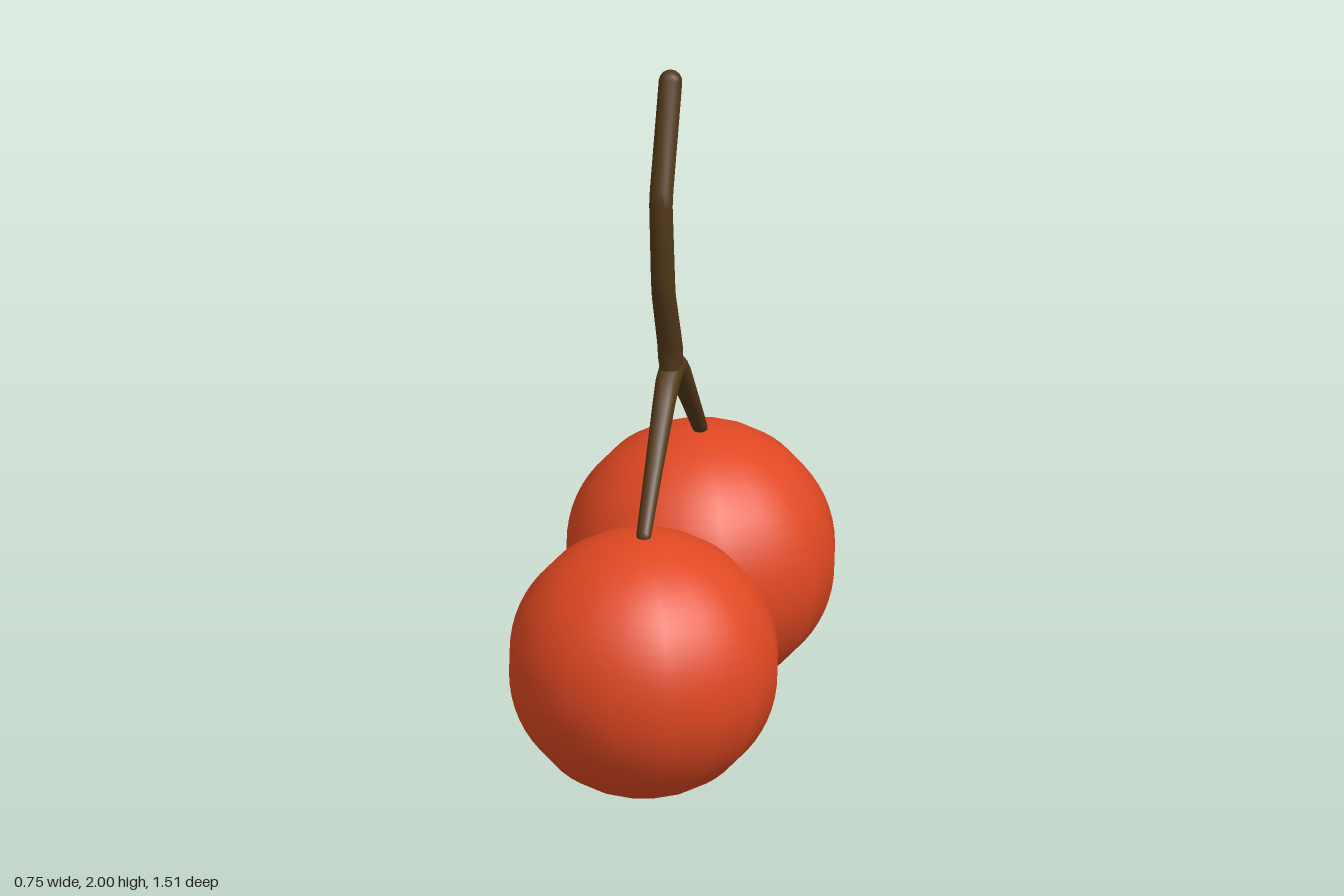
import * as THREE from 'three';

const SIDES = 12;

// Smooth tapered branch in the x = 0 plane with domed ends.
// Each point: [z, y, radius across x, radius in the plane]
function branch(points, material, name) {
  const dir = (a, b) => new THREE.Vector2(b[0] - a[0], b[1] - a[1]).normalize();
  const rings = points.map((p, i) => {
    const t = new THREE.Vector2();
    if (i > 0) t.add(dir(points[i - 1], p));
    if (i < points.length - 1) t.add(dir(p, points[i + 1]));
    return { z: p[0], y: p[1], r: p[2], w: p[3] ?? p[2], t: t.normalize() };
  });
  // Dome: shrinking rings pushed outward along the tangent
  const dome = (e, sign) => [0.4, 0.8, 1.2, Math.PI / 2].map((a) => ({
    z: e.z + sign * e.t.x * e.r * Math.sin(a),
    y: e.y + sign * e.t.y * e.r * Math.sin(a),
    r: e.r * Math.cos(a), w: e.w * Math.cos(a), t: e.t,
  }));
  const all = [...dome(rings[0], -1).reverse(), ...rings, ...dome(rings.at(-1), 1)];
  const pos = [], index = [];
  all.forEach((s, i) => {
    for (let j = 0; j < SIDES; j++) {
      const a = (j / SIDES) * Math.PI * 2, n = Math.cos(a) * s.w;
      pos.push(Math.sin(a) * s.r, s.y - s.t.x * n, s.z + s.t.y * n);
      if (i === all.length - 1) continue;
      const k = (j + 1) % SIDES, b = i * SIDES, c = b + SIDES;
      index.push(b + j, b + k, c + j, b + k, c + k, c + j);
    }
  });
  const geo = new THREE.BufferGeometry();
  geo.setAttribute('position', new THREE.Float32BufferAttribute(pos, 3));
  geo.setIndex(index);
  geo.computeVertexNormals();
  const mesh = new THREE.Mesh(geo, material);
  mesh.name = name;
  return mesh;
}

export function createModel() {
  const model = new THREE.Group();
  model.name = 'cherryPair';
  const red = new THREE.MeshStandardMaterial({ color: 0xe04822 });
  const brown = new THREE.MeshStandardMaterial({ color: 0x523819 });

  // Two round fruits, front and back
  const fruit = new THREE.SphereGeometry(0.376, 16, 32);
  for (const side of [1, -1]) {
    const cherry = new THREE.Mesh(fruit, red);
    cherry.name = side > 0 ? 'frontCherry' : 'backCherry';
    cherry.position.set(0, 0.378, 0.378 * side);
    model.add(cherry);
  }

  // Crooked main stem, flaring where it forks
  model.add(branch([
    [0.02, 1.968, 0.033], [0.138, 1.69, 0.033], [0.147, 1.65, 0.033],
    [0.119, 1.41, 0.034], [0.108, 1.36, 0.034], [0.035, 1.2, 0.035, 0.038],
    [0.018, 1.15, 0.035, 0.048], [0.003, 1.105, 0.03, 0.062],
  ], brown, 'stem'));

  // Forked stalks arching down to both fruits
  const half = [[0.375, 0.757, 0.021], [0.24, 0.9, 0.026], [0.105, 1.039, 0.032], [0.05, 1.083, 0.035]];
  const mirrored = half.map(([z, ...rest]) => [-z, ...rest]).reverse();
  model.add(branch([...half, [0, 1.098, 0.036], ...mirrored], brown, 'forkedStalks'));

  return model;
}
